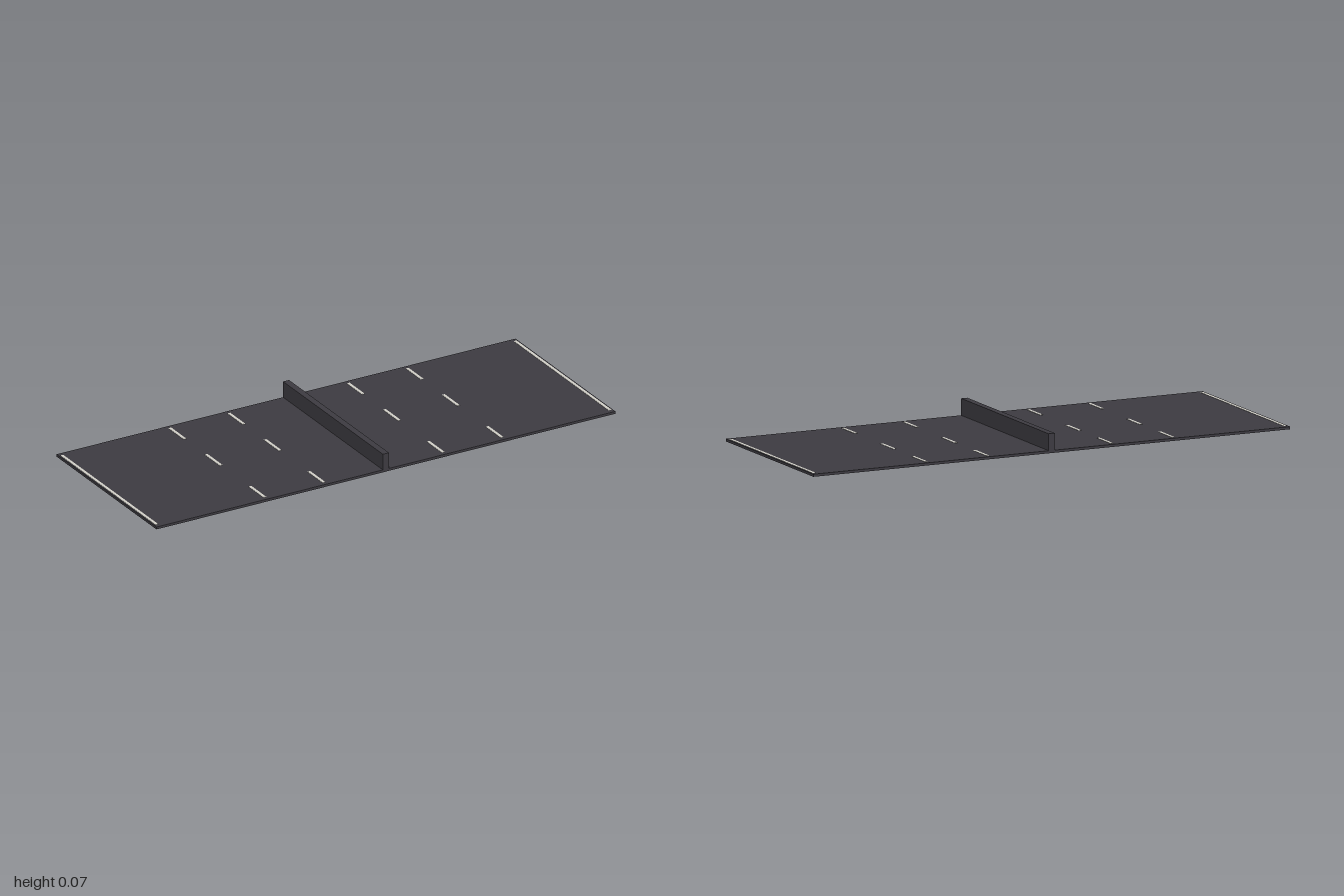
import * as THREE from 'three';

export function createModel() {
  const model = new THREE.Group();
  model.name = 'dividedRoad';

  const asphalt = new THREE.MeshStandardMaterial({ color: 0x3c3a40 });
  asphalt.name = 'dark asphalt';
  const paint = new THREE.MeshStandardMaterial({ color: 0xd0cec6 });
  paint.name = 'off-white paint';

  const length = 0.74, slabTop = 0.01, paintHeight = 0.001;

  // Box standing on a given height
  function addBox(name, material, [w, h, d], [x, bottom, z]) {
    const mesh = new THREE.Mesh(new THREE.BoxGeometry(w, h, d), material);
    mesh.name = name;
    mesh.position.set(x, bottom + h / 2, z);
    model.add(mesh);
  }

  // Road slab and central barrier
  addBox('roadSlab', asphalt, [2, slabTop, length], [0, 0, 0]);
  addBox('centreBarrier', asphalt, [0.026, 0.075 - slabTop, length], [0, slabTop, 0]);

  for (const side of [-1, 1]) {
    const name = side > 0 ? 'left' : 'right';
    // Solid line along the outer edge
    addBox(name + 'EdgeLine', paint, [0.012, paintHeight, 0.705], [side * 0.988, slabTop, 0]);
    // Dashed lane lines
    for (const x of [0.26, 0.517]) {
      for (const z of [-0.296, -0.028, 0.297]) {
        addBox(name + 'LaneDash', paint, [0.012, paintHeight, 0.112], [side * x, slabTop, z]);
      }
    }
  }
  return model;
}
